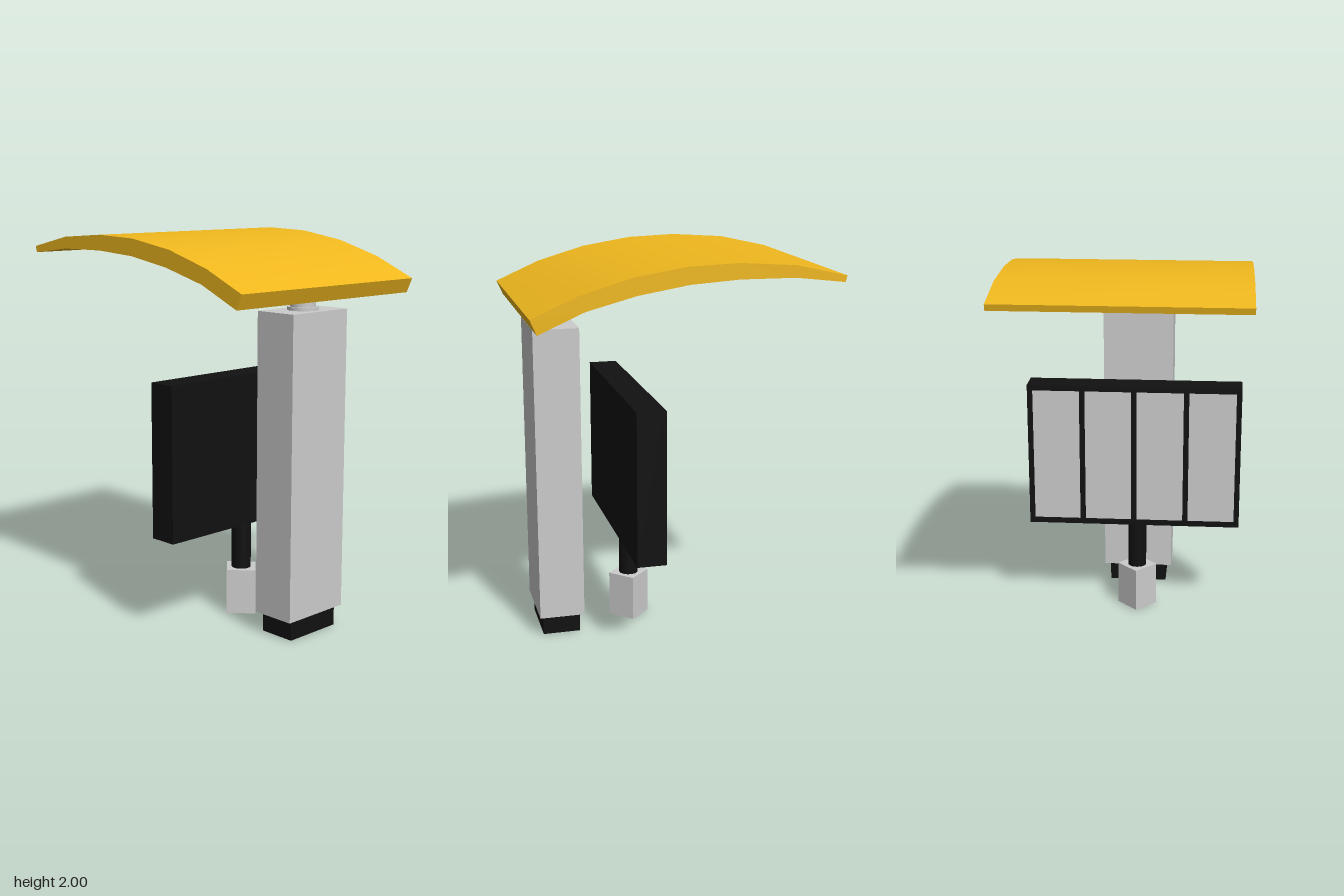
import * as THREE from 'three';
import { toCreasedNormals } from 'three/addons/utils/BufferGeometryUtils.js';

const grey = new THREE.MeshStandardMaterial({ color: 0xcccccc });
const black = new THREE.MeshStandardMaterial({ color: 0x111111 });
const yellow = new THREE.MeshStandardMaterial({ color: 0xf0b81e });

function part(parent, name, geometry, material, x, y, z) {
  const mesh = new THREE.Mesh(geometry, material);
  mesh.name = name;
  mesh.position.set(x, y, z);
  parent.add(mesh);
  return mesh;
}

const box = (w, h, d) => new THREE.BoxGeometry(w, h, d);

// Flat plate, centred on the origin in x and y, with rectangular holes [x, y, w, h]
function plate(w, h, depth, holes) {
  const rect = (path, x, y, rw, rh) => {
    path.moveTo(x - rw / 2, y - rh / 2);
    path.lineTo(x + rw / 2, y - rh / 2);
    path.lineTo(x + rw / 2, y + rh / 2);
    path.lineTo(x - rw / 2, y + rh / 2);
    path.closePath();
    return path;
  };
  const shape = rect(new THREE.Shape(), 0, 0, w, h);
  holes.forEach((r) => shape.holes.push(rect(new THREE.Path(), ...r)));
  const geometry = new THREE.ExtrudeGeometry(shape, { depth, bevelEnabled: false });
  return geometry.translate(0, 0, -depth / 2);
}

function createCanopy() {
  // Side profile as [z, y], front to back
  const top = [[0.772, 1.774], [0.544, 1.874], [0.289, 1.949], [0.024, 1.991],
    [-0.231, 2], [-0.512, 1.98], [-0.772, 1.922]];
  const bottom = [[0.74, 1.7], [0.512, 1.8], [0.268, 1.864], [0.013, 1.906],
    [-0.231, 1.922], [-0.512, 1.92], [-0.764, 1.89]];
  const outline = [...top, ...bottom.reverse()].map(([z, y]) => new THREE.Vector2(z, y));
  const geometry = new THREE.ExtrudeGeometry(new THREE.Shape(outline), { depth: 1.23, bevelEnabled: false });
  geometry.translate(0, 0, -0.615).rotateY(-Math.PI / 2);
  return toCreasedNormals(geometry, 0.6);
}

export function createModel() {
  const model = new THREE.Group();
  model.name = 'orderStation';

  // Curved roof
  part(model, 'canopy', createCanopy(), yellow, -0.002, 0, 0);

  // Pillar with a shallow opening in its back, on a hollow foot
  const pillar = new THREE.Group();
  pillar.name = 'pillar';
  model.add(pillar);
  const px = -0.005;
  part(pillar, 'pillarBody', box(0.39, 1.54, 0.22), grey, px, 0.875, 0.59);
  part(pillar, 'pillarBack', plate(0.39, 1.54, 0.015, [[0, -0.345, 0.24, 0.14]]), grey, px, 0.875, 0.4725);
  part(pillar, 'pillarFoot', plate(0.325, 0.195, 0.105, [[0, 0, 0.23, 0.1]]), black, px, 0.0525, 0.5825)
    .rotation.x = Math.PI / 2;
  part(pillar, 'poleCollar', new THREE.CylinderGeometry(0.077, 0.077, 0.018, 32), grey, px, 1.653, 0.583);
  part(pillar, 'roofPole', new THREE.CylinderGeometry(0.064, 0.064, 0.15, 32), grey, px, 1.72, 0.583);

  // Display board with four recessed panels facing the back
  const board = new THREE.Group();
  board.name = 'displayBoard';
  model.add(board);
  const bx = -0.005, by = 0.8975, pw = 0.254, ph = 0.735, pitch = 0.283;
  const columns = [-1.5, -0.5, 0.5, 1.5].map((i) => i * pitch);
  part(board, 'boardBody', box(1.16, 0.795, 0.135), black, bx, by, 0.1975);
  part(board, 'boardFrame', plate(1.16, 0.795, 0.015, columns.map((x) => [x, 0, pw, ph])), black, bx, by, 0.1225);
  for (const x of columns) part(board, 'boardPanel', box(pw, ph, 0.01), grey, bx + x, by, 0.126);

  // Post and square footing turned corner-on
  part(board, 'boardPost', new THREE.CylinderGeometry(0.051, 0.051, 0.28, 32), black, -0.02, 0.37, 0.177);
  const footing = new THREE.CylinderGeometry(0.108, 0.108, 0.24, 4).toNonIndexed();
  footing.computeVertexNormals();
  part(board, 'boardFooting', footing, grey, -0.02, 0.12, 0.177);

  return model;
}
